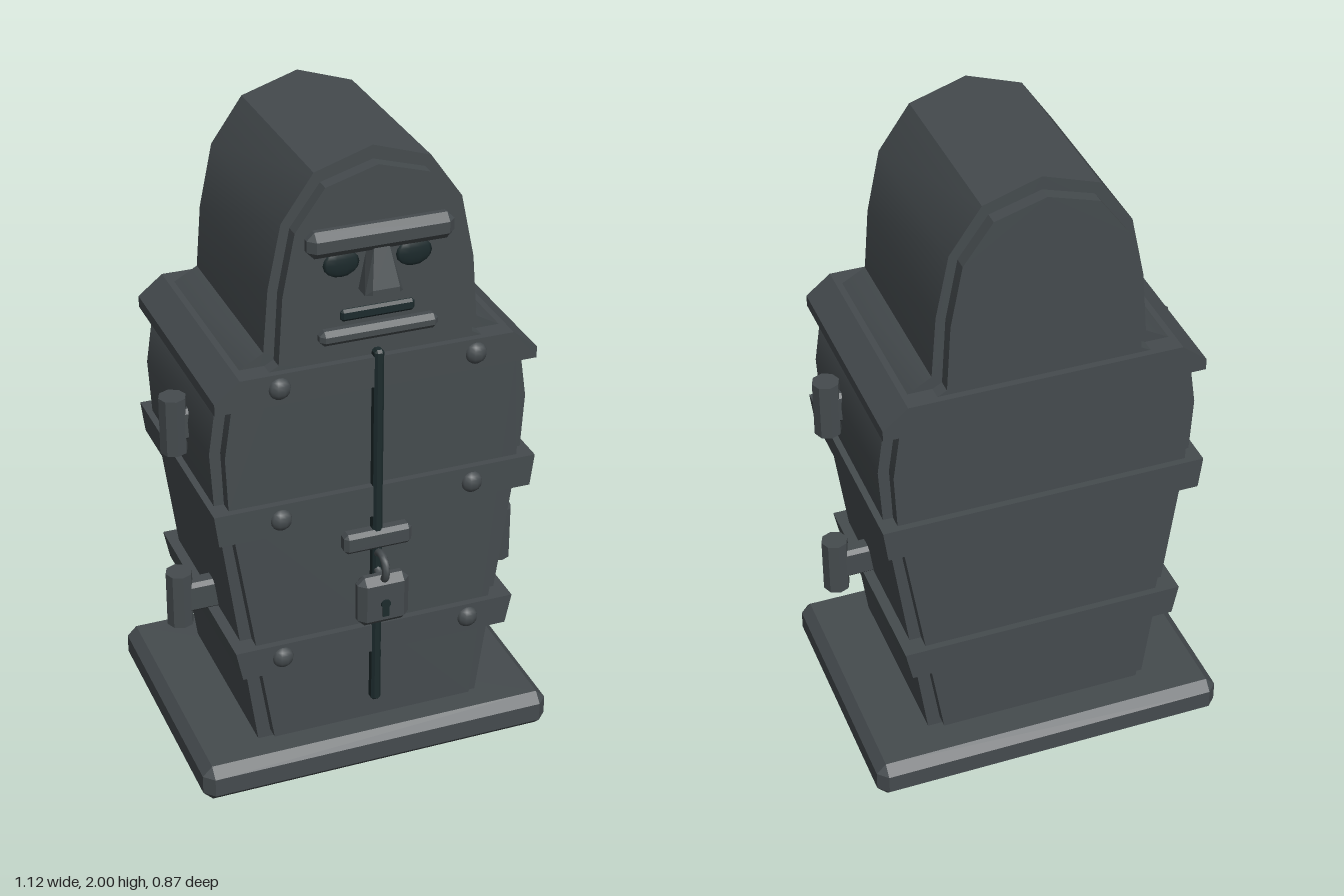
import * as THREE from 'three';
import { toCreasedNormals } from 'three/addons/utils/BufferGeometryUtils.js';
import { ConvexGeometry } from 'three/addons/geometries/ConvexGeometry.js';

const iron = new THREE.MeshStandardMaterial({ color: 0x454b4e });
iron.name = 'iron';
const dark = new THREE.MeshStandardMaterial({ color: 0x1c2a2c });
dark.name = 'dark gap';

// Box with every edge and corner cut at 45 degrees
function chamferBox(w, h, d, c) {
  const a = w / 2, b = h / 2, e = d / 2, points = [];
  for (const x of [-1, 1]) for (const y of [-1, 1]) for (const z of [-1, 1]) {
    points.push(
      new THREE.Vector3(x * a, y * (b - c), z * (e - c)),
      new THREE.Vector3(x * (a - c), y * b, z * (e - c)),
      new THREE.Vector3(x * (a - c), y * (b - c), z * e));
  }
  return new ConvexGeometry(points);
}

// Mirrors a right-hand outline (bottom to top) and extrudes it, centred on z = 0
function slab(half, depth, crease = 0.3) {
  const left = half.filter(p => p[0] > 0).map(([x, y]) => [-x, y]).reverse();
  const shape = new THREE.Shape([...half, ...left].map(p => new THREE.Vector2(...p)));
  const geometry = new THREE.ExtrudeGeometry(shape, { depth, bevelEnabled: false });
  geometry.translate(0, 0, -depth / 2);
  return toCreasedNormals(geometry, crease);
}

export function createModel() {
  const model = new THREE.Group();
  model.name = 'ironCabinet';
  const add = (name, geometry, material, x = 0, y = 0, z = 0) => {
    const mesh = new THREE.Mesh(geometry, material);
    mesh.name = name;
    mesh.position.set(x, y, z);
    model.add(mesh);
    return mesh;
  };

  // Plinth
  add('base', chamferBox(1.12, 0.12, 0.842, 0.03), iron, 0, 0.06, -0.015);

  // Body shell, with a slightly smaller raised panel front and back
  const outline = [[0.355, 0.11], [0.46, 0.87], [0.475, 0.97], [0.485, 1.14], [0.462, 1.3],
    [0.4, 1.385], [0.32, 1.43], [0.305, 1.62], [0.265, 1.81], [0.17, 1.945], [0, 2]];
  const panel = [[0.318, 0.145], [0.43, 0.87], [0.445, 0.97], [0.452, 1.14], [0.43, 1.29],
    [0.375, 1.36], [0.29, 1.405], [0.277, 1.61], [0.24, 1.795], [0.152, 1.915], [0, 1.96]];
  add('body', slab(outline, 0.59, 0.6), iron);
  add('raisedPanels', slab(panel, 0.672), iron);

  // Iron bands with a pair of rivets each
  const bands = [
    ['lowerBand', [[0.42, 0.395], [0.44, 0.49]], 0.445],
    ['middleBand', [[0.482, 0.87], [0.495, 0.97]], 0.92],
    ['shoulderBand', [[0.485, 1.295], [0.485, 1.33], [0.41, 1.39]], 1.345],
  ];
  for (const [name, half, y] of bands) {
    add(name, slab(half, 0.714), iron);
    for (const side of [-1, 1]) {
      add('rivet', new THREE.SphereGeometry(0.034, 10, 8), iron, side * 0.295, y, 0.353).scale.z = 0.75;
    }
  }

  // Door seam
  add('doorSeam', chamferBox(0.03, 1.195, 0.04, 0.008), dark, 0, 0.8125, 0.344);

  // Hinges
  for (const side of [-1, 1]) {
    for (const [y, inner] of [[0.535, 0.37], [1.13, 0.43]]) {
      add('hingePin', toCreasedNormals(new THREE.CylinderGeometry(0.041, 0.041, 0.178, 8), 0.3),
        iron, side * 0.52, y, 0.072);
      add('hingePlate', chamferBox(0.52 - inner, 0.1, 0.06, 0.012), iron, side * (inner + 0.52) / 2, y, 0.072);
    }
  }

  // Face
  add('brow', chamferBox(0.43, 0.078, 0.06, 0.022), iron, 0, 1.762, 0.352);
  for (const side of [-1, 1]) {
    add('eye', new THREE.SphereGeometry(1, 10, 8), dark, side * 0.107, 1.685, 0.335).scale.set(0.055, 0.041, 0.012);
  }
  const nose = [];
  for (const s of [-1, 1]) {
    nose.push(
      new THREE.Vector3(s * 0.03, 1.735, 0.32), new THREE.Vector3(s * 0.022, 1.735, 0.365),
      new THREE.Vector3(s * 0.056, 1.6, 0.32), new THREE.Vector3(s * 0.056, 1.6, 0.385),
      new THREE.Vector3(s * 0.04, 1.605, 0.402), new THREE.Vector3(s * 0.04, 1.62, 0.402));
  }
  add('nose', new ConvexGeometry(nose), iron);
  add('mouth', chamferBox(0.22, 0.036, 0.02, 0.008), dark, 0, 1.527, 0.337);
  add('lowerLip', chamferBox(0.352, 0.045, 0.05, 0.014), iron, 0, 1.472, 0.342);

  // Hasp and padlock
  add('hasp', chamferBox(0.21, 0.065, 0.05, 0.012), iron, 0, 0.792, 0.347);
  add('shackle', new THREE.TorusGeometry(0.04, 0.012, 8, 16), iron, 0, 0.715, 0.386).rotation.y = Math.PI / 2;
  add('padlock', chamferBox(0.16, 0.165, 0.06, 0.022), iron, 0, 0.612, 0.396);
  const keyhole = new THREE.CylinderGeometry(0.015, 0.015, 0.008, 10).rotateX(Math.PI / 2);
  add('keyhole', keyhole, dark, 0, 0.607, 0.427);
  add('keySlot', new THREE.BoxGeometry(0.02, 0.04, 0.008), dark, 0, 0.585, 0.427);

  return model;
}
